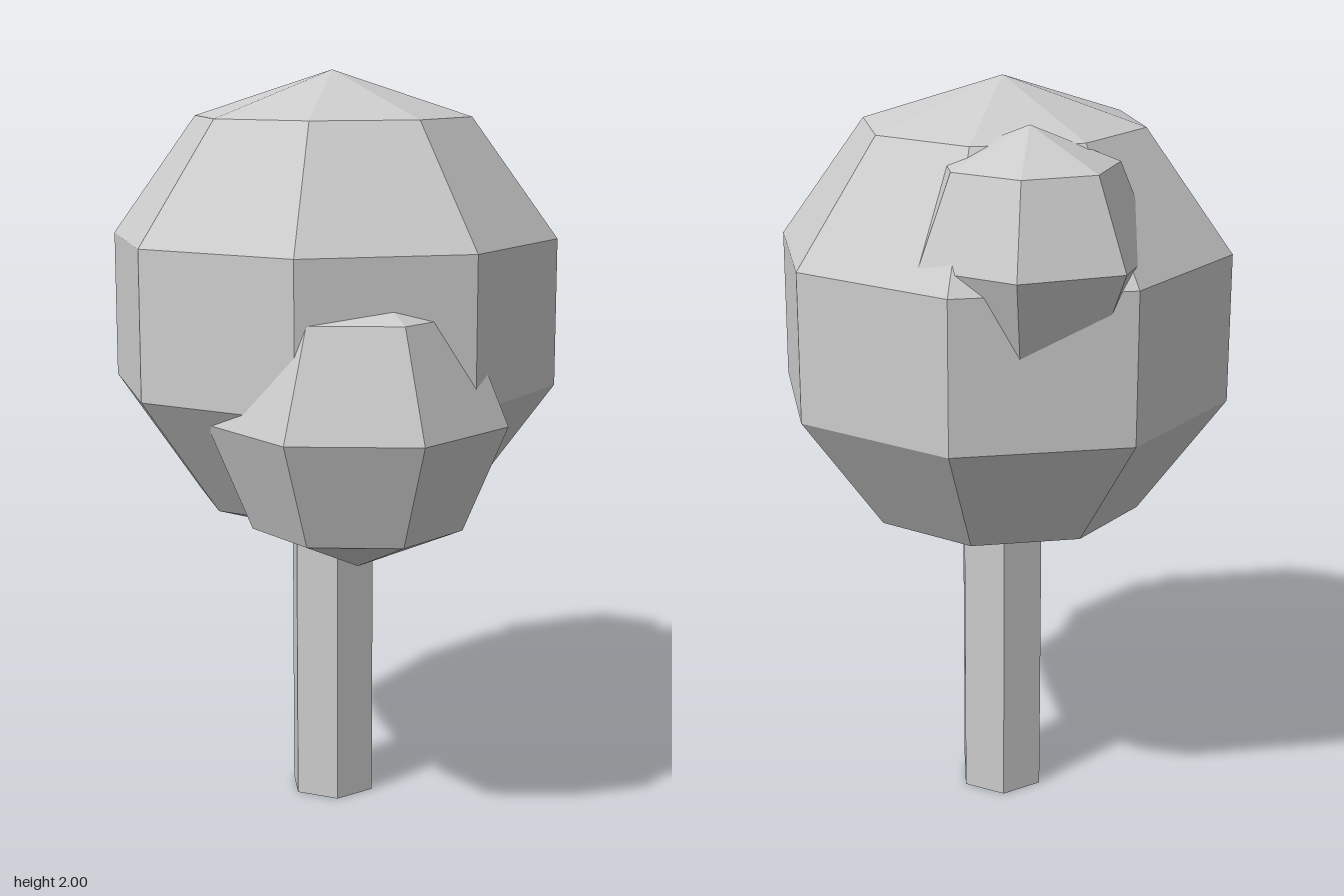
import * as THREE from 'three';

export function createModel() {
  const tree = new THREE.Group();
  tree.name = 'tree';
  const grey = new THREE.MeshStandardMaterial({ color: 0xcccccc, flatShading: true });
  grey.name = 'plain grey';

  const add = (name, geometry, x, y, z, turn = 0) => {
    const mesh = new THREE.Mesh(geometry, grey);
    mesh.name = name;
    mesh.position.set(x, y, z);
    mesh.rotation.y = turn;
    tree.add(mesh);
  };

  // Six-sided trunk, its top hidden inside the crown
  const trunkHeight = 0.86;
  add('trunk', new THREE.CylinderGeometry(0.121, 0.121, trunkHeight, 6), -0.04, trunkHeight / 2, 0);

  // Main ball of foliage
  add('crown', new THREE.SphereGeometry(0.634, 8, 5), -0.04, 1.366, 0);

  // Two seven-sided clumps growing out of the crown
  const clumpTurn = Math.PI / 14;
  add('lowerLeftClump', new THREE.SphereGeometry(0.389, 7, 4), 0.277, 1.125, 0.15, clumpTurn);
  add('upperRightClump', new THREE.SphereGeometry(0.316, 7, 4), -0.351, 1.61, -0.122, clumpTurn);

  return tree;
}
